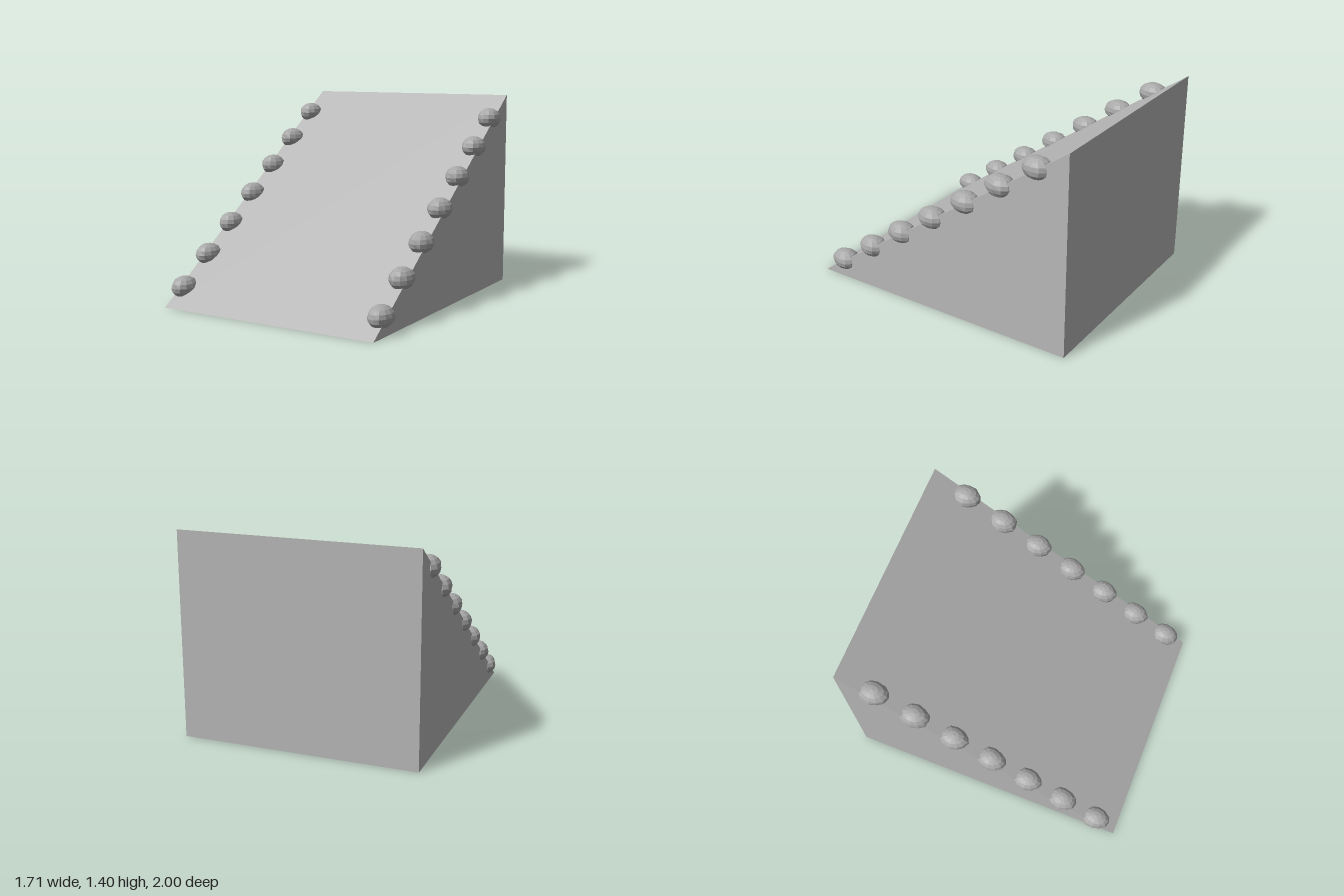
import * as THREE from 'three';

const rampGrey = new THREE.MeshStandardMaterial({ color: 0xb8b8b8 });
rampGrey.name = 'ramp grey';
const stoneGrey = new THREE.MeshStandardMaterial({ color: 0xa8a8a8, flatShading: true });
stoneGrey.name = 'stone grey';

const WIDTH = 1.62, HEIGHT = 1.4, STONES = 7;

// Solid wedge: side triangle extruded across the width
function makeRamp() {
  const side = new THREE.Shape([
    new THREE.Vector2(-1, 0), new THREE.Vector2(1, 0), new THREE.Vector2(1, HEIGHT),
  ]);
  const geometry = new THREE.ExtrudeGeometry(side, { depth: WIDTH, bevelEnabled: false });
  geometry.translate(0, 0, -WIDTH / 2);
  geometry.rotateY(Math.PI / 2); // shape x runs to -z
  const ramp = new THREE.Mesh(geometry, rampGrey);
  ramp.name = 'ramp';
  return ramp;
}

// Faceted, slightly lumpy border stone
function makeStone(seed) {
  const geometry = new THREE.SphereGeometry(1, 12, 8);
  const p = geometry.attributes.position;
  for (let i = 0; i < p.count; i++) {
    const x = p.getX(i), y = p.getY(i), z = p.getZ(i);
    const lump = 1 + 0.05 * Math.sin(5 * x + 3 * y + seed) * Math.cos(4 * z - seed * 1.7);
    const taper = 1 - 0.1 * z; // narrower toward the front
    p.setXYZ(i, x * lump * taper * 0.08, y * 0.075, z * lump * 0.105);
  }
  geometry.computeVertexNormals();
  return new THREE.Mesh(geometry, stoneGrey);
}

export function createModel() {
  const model = new THREE.Group();
  model.name = 'stoneEdgedRamp';
  model.add(makeRamp());

  // A row of stones up each edge of the slope
  for (const [name, side] of [['left', 1], ['right', -1]]) {
    const row = new THREE.Group();
    row.name = name + 'StoneRow';
    for (let i = 0; i < STONES; i++) {
      const stone = makeStone(i * 1.3 + side);
      stone.name = name + 'Stone' + (i + 1);
      stone.position.set(side * 0.772, 0.12 + i * 0.1865, 0.842 - i * 0.267);
      row.add(stone);
    }
    model.add(row);
  }
  return model;
}
